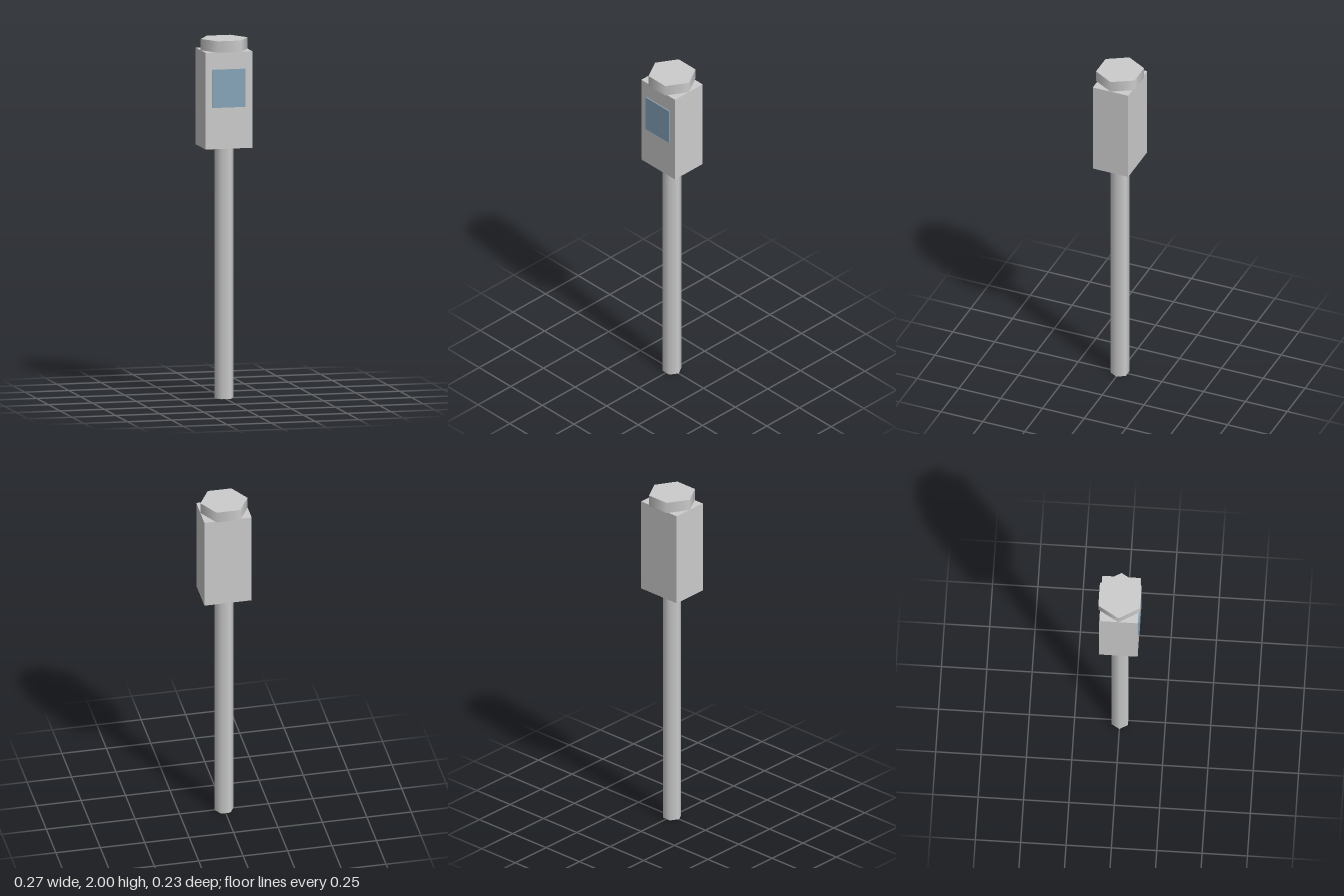
import * as THREE from 'three';

const grey = new THREE.MeshStandardMaterial({ color: 0xcccccc, side: THREE.DoubleSide });
const blue = new THREE.MeshStandardMaterial({ color: 0x85a3ba });

function add(parent, name, geometry, material, x, y, z) {
  const mesh = new THREE.Mesh(geometry, material);
  mesh.name = name;
  mesh.position.set(x, y, z);
  parent.add(mesh);
  return mesh;
}

// Six-sided smooth tube, open at both ends, corners pointing along x
function hexTube(radius, height) {
  return new THREE.CylinderGeometry(radius, radius, height, 6, 1, true, Math.PI / 2);
}

// Box without its underside
function bottomlessBox(w, h, d) {
  const box = new THREE.BoxGeometry(w, h, d);
  const index = Array.from(box.index.array);
  index.splice(18, 6);
  box.setIndex(index);
  box.clearGroups();
  return box;
}

export function createModel() {
  const model = new THREE.Group();
  model.name = 'postWithMeterBox';

  // Hollow post
  add(model, 'post', hexTube(0.053, 1.4), grey, 0, 0.7, 0);

  // Housing on top of the post, open underneath
  add(model, 'housing', bottomlessBox(0.266, 0.537, 0.212), grey, 0, 1.6685, 0);

  // Display on the front of the housing
  add(model, 'display', new THREE.BoxGeometry(0.187, 0.212, 0.014), blue, 0, 1.736, 0.106);

  // Hexagonal cap: side wall and lid
  const cap = new THREE.Group();
  cap.name = 'cap';
  model.add(cap);
  add(cap, 'capWall', hexTube(0.133, 0.063), grey, 0, 1.9685, 0);
  const lid = add(cap, 'capLid', new THREE.CircleGeometry(0.133, 6), grey, 0, 2, 0);
  lid.rotation.x = -Math.PI / 2;

  return model;
}
